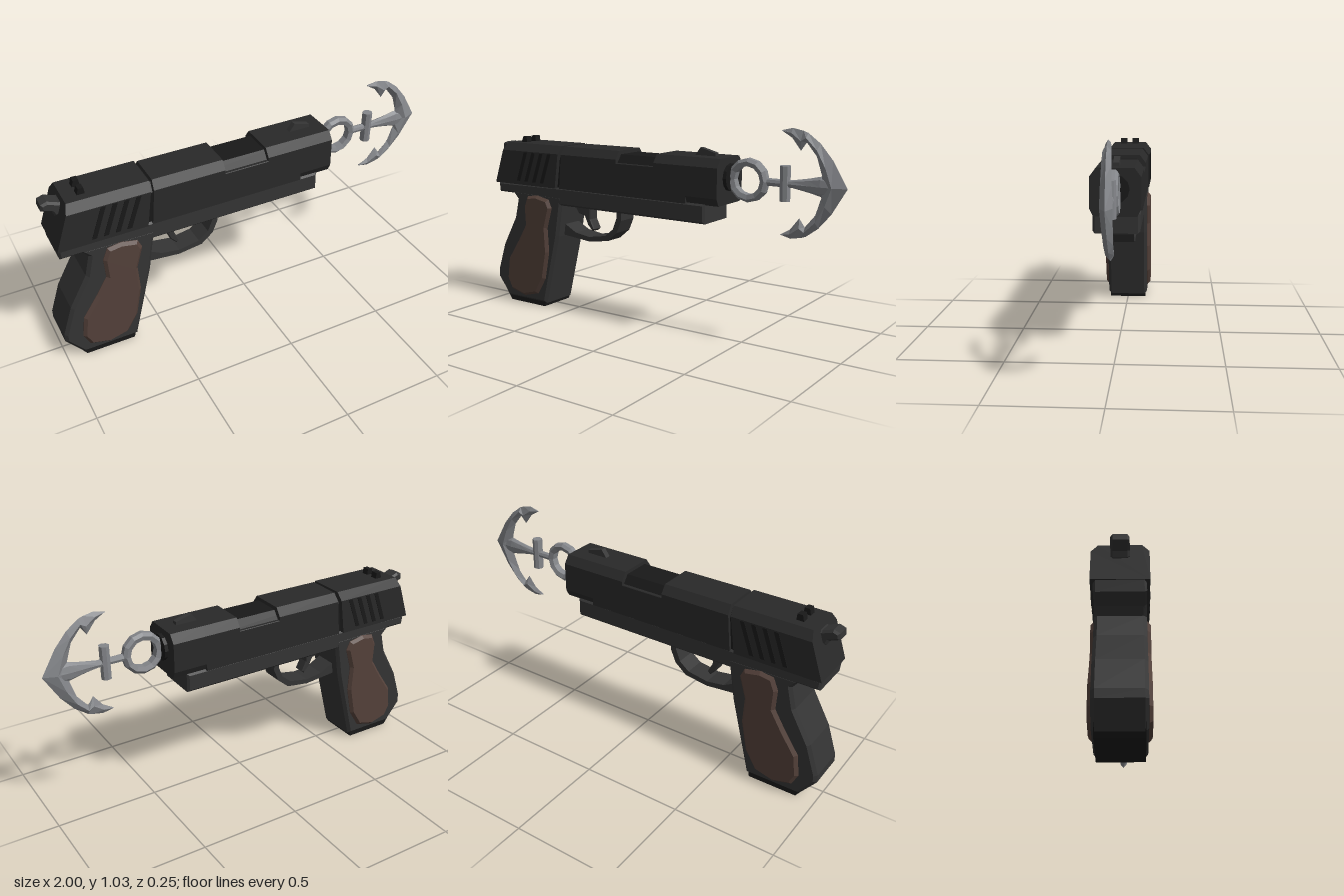
import * as THREE from 'three';

const mat = (color) => new THREE.MeshStandardMaterial({ color, flatShading: true, roughness: 0.7 });

// Closed solid through a list of convex rings of [x, y, z] points
function loft(rings) {
  const n = rings[0].length, idx = [];
  const pts = rings.flat();
  for (let r = 0; r < rings.length - 1; r++) {
    for (let i = 0; i < n; i++) {
      const a = r * n + i, b = r * n + (i + 1) % n;
      idx.push(a, b, b + n, a, b + n, a + n);
    }
  }
  const e = (rings.length - 1) * n;
  for (let i = 1; i < n - 1; i++) idx.push(0, i + 1, i, e, e + i, e + i + 1);
  // Turn the faces outward if the enclosed volume is negative
  const v = pts.map((p) => new THREE.Vector3(...p));
  let vol = 0;
  for (let i = 0; i < idx.length; i += 3) {
    vol += v[idx[i]].dot(v[idx[i + 1]].clone().sub(v[0]).cross(v[idx[i + 2]].clone().sub(v[0])));
    vol -= v[0].dot(v[idx[i + 1]].clone().sub(v[0]).cross(v[idx[i + 2]].clone().sub(v[0])));
  }
  if (vol < 0) idx.reverse();
  const g = new THREE.BufferGeometry();
  g.setAttribute('position', new THREE.Float32BufferAttribute(pts.flat(), 3));
  g.setIndex(idx);
  const flat = g.toNonIndexed();
  flat.computeVertexNormals();
  return flat;
}

// Side outline extruded to +-half in z, with chamfered edges
function plate(points, half, bevel = 0) {
  const shape = new THREE.Shape(points.map(([x, y]) => new THREE.Vector2(x, y)));
  const g = new THREE.ExtrudeGeometry(shape, {
    depth: 2 * (half - bevel), bevelEnabled: bevel > 0, bevelSize: bevel,
    bevelThickness: bevel, bevelOffset: -bevel, bevelSegments: 1, curveSegments: 6,
  });
  return g.translate(0, 0, bevel - half);
}

// Chamfered bar along x; ends slant with y
function bar(x0, x1, s0, s1, w, y0, y1, top = 0.03, low = 0) {
  const half = [[w - low, y0], [w, y0 + low * 2], [w, y1 - top * 1.35], [w - top, y1]];
  const ring = [...half, ...half.slice().reverse().map(([z, y]) => [-z, y])];
  const at = (x, s) => ring.map(([z, y]) => [x + s * (y - y0) / (y1 - y0), y, z]);
  return loft([at(x0, s0), at(x1, s1)]);
}

export function createModel() {
  const model = new THREE.Group();
  const dark = mat(0x292929), black = mat(0x191919), frameMat = mat(0x343434);
  const wood = mat(0x54413a), steel = mat(0x85878b);
  const add = (name, geo, material, parent = model) => {
    const m = new THREE.Mesh(geo, material);
    m.name = name;
    parent.add(m);
    return m;
  };

  // Slide sections
  add('rearSlide', bar(-0.975, -0.55, 0.075, 0.03, 0.122, 0.66, 0.88), dark);
  add('slideCore', bar(-0.6, 0.2, 0, 0, 0.1, 0.65, 0.86), black);
  add('middleSlide', bar(-0.525, -0.155, 0.02, 0, 0.116, 0.66, 0.878), dark);
  add('ejectionLowerSlide', bar(-0.155, 0.07, 0, 0, 0.116, 0.66, 0.82, 0.002), dark);
  add('frontSlide', bar(0.07, 0.25, 0, 0, 0.116, 0.66, 0.878), dark);
  add('noseSlide', bar(0.25, 0.42, 0, 0, 0.116, 0.66, 0.878, 0.03, 0.018), dark);

  // Slanted grip grooves on both sides of the rear slide
  for (const side of [-1, 1]) {
    for (let i = 0; i < 4; i++) {
      const x = -0.815 + i * 0.055;
      const bars = plate([[x, 0.68], [x + 0.022, 0.68], [x + 0.078, 0.835], [x + 0.056, 0.835]], 0.003);
      add('slideGroove', bars, black).position.z = side * 0.122;
    }
  }

  // Sights
  for (const z of [-0.034, 0.034]) {
    add('rearSight', plate([[-0.84, 0.87], [-0.8, 0.87], [-0.805, 0.91], [-0.83, 0.91]], 0.018), black)
      .position.z = z;
  }
  add('frontSight', plate([[0.235, 0.87], [0.35, 0.87], [0.35, 0.893], [0.268, 0.915]], 0.014), frameMat);

  // Hammer
  add('hammer', plate([[-0.9, 0.8], [-0.94, 0.79], [-0.95, 0.815], [-0.998, 0.835], [-0.995, 0.865],
    [-0.965, 0.875], [-0.915, 0.855], [-0.88, 0.86]], 0.04, 0.01), frameMat);

  // Muzzle
  const muzzle = new THREE.CylinderGeometry(0.065, 0.065, 0.05, 12).rotateZ(Math.PI / 2);
  add('muzzle', muzzle, black).position.set(0.412, 0.785, 0);

  // Frame rail and grip
  add('frame', plate([[-0.97, 0.66], [-0.965, 0.607], [-0.86, 0.607], [-0.82, 0.57], [0.35, 0.57],
    [0.35, 0.665], [-0.5, 0.665]], 0.109, 0.01), frameMat);
  add('grip', plate([[-0.87, 0.62], [-0.835, 0.575], [-0.86, 0.47], [-0.95, 0.31], [-1, 0.16], [-1, 0.12],
    [-0.92, 0.02], [-0.645, 0.02], [-0.55, 0.4], [-0.515, 0.62]], 0.11, 0.015), frameMat);
  add('gripBase', plate([[-0.94, 0.05], [-0.905, 0], [-0.66, 0], [-0.65, 0.05]], 0.1), black);

  // Wooden grip panels
  const panel = [[-0.75, 0.6], [-0.685, 0.61], [-0.605, 0.594], [-0.585, 0.55], [-0.617, 0.44],
    [-0.61, 0.31], [-0.64, 0.16], [-0.695, 0.07], [-0.79, 0.045], [-0.885, 0.07], [-0.915, 0.13],
    [-0.9, 0.24], [-0.825, 0.35], [-0.77, 0.44], [-0.775, 0.54]];
  for (const side of [-1, 1]) {
    add(side > 0 ? 'leftGripPanel' : 'rightGripPanel', plate(panel, 0.018, 0.014), wood)
      .position.z = side * 0.109;
  }

  // Trigger guard and trigger
  add('triggerGuard', plate([[-0.56, 0.405], [-0.38, 0.388], [-0.26, 0.405], [-0.2, 0.455], [-0.172, 0.52],
    [-0.172, 0.58], [-0.2, 0.58], [-0.2, 0.53], [-0.225, 0.47], [-0.275, 0.43], [-0.38, 0.412],
    [-0.47, 0.425], [-0.545, 0.465]], 0.054), frameMat);
  add('trigger', plate([[-0.505, 0.58], [-0.47, 0.525], [-0.43, 0.515], [-0.41, 0.47], [-0.38, 0.438],
    [-0.365, 0.45], [-0.39, 0.5], [-0.39, 0.58]], 0.03, 0.005), frameMat);

  // Anchor, centred on its own shank axis
  const anchor = new THREE.Group();
  anchor.name = 'anchor';
  anchor.position.y = 0.78;
  anchor.rotation.x = 0.022;
  model.add(anchor);

  const ring = new THREE.LatheGeometry([[0.066, -0.018], [0.088, -0.025], [0.102, -0.012], [0.102, 0.012],
    [0.088, 0.025], [0.066, 0.018], [0.066, -0.018]].map(([r, y]) => new THREE.Vector2(r, y)), 12);
  add('anchorRing', ring.rotateX(Math.PI / 2), steel, anchor).position.x = 0.52;

  const shank = [[0.605, 0.018, 0.017], [0.74, 0.018, 0.017], [0.82, 0.032, 0.019], [0.875, 0.045, 0.022],
    [0.95, 0.03, 0.018]];
  add('anchorShank', loft(shank.map(([x, h, d]) => Array.from({ length: 8 }, (_, i) => {
    const a = (i / 8) * Math.PI * 2;
    return [x, h * Math.cos(a), d * Math.sin(a)];
  }))), steel, anchor);
  add('anchorStock', new THREE.CylinderGeometry(0.025, 0.025, 0.16, 8), steel, anchor).position.x = 0.703;

  // Curved arms: outer x y, inner x y, half thickness
  const arm = [[0.684, 0.236, 0.684, 0.234, 0.006], [0.735, 0.248, 0.732, 0.205, 0.013],
    [0.785, 0.238, 0.775, 0.15, 0.016], [0.808, 0.23, 0.802, 0.188, 0.018],
    [0.866, 0.187, 0.85, 0.13, 0.02], [0.925, 0.118, 0.876, 0.05, 0.023], [0.995, 0, 0.868, 0, 0.026]];
  for (const side of [-1, 1]) {
    add(side > 0 ? 'upperAnchorArm' : 'lowerAnchorArm', loft(arm.map(([ox, oy, ix, iy, d]) => {
      const mx = (ox + ix) / 2, my = side * (oy + iy) / 2;
      return [[ox, side * oy, 0], [mx, my, d], [ix, side * iy, 0], [mx, my, -d]];
    })), steel, anchor);
  }
  return model;
}
